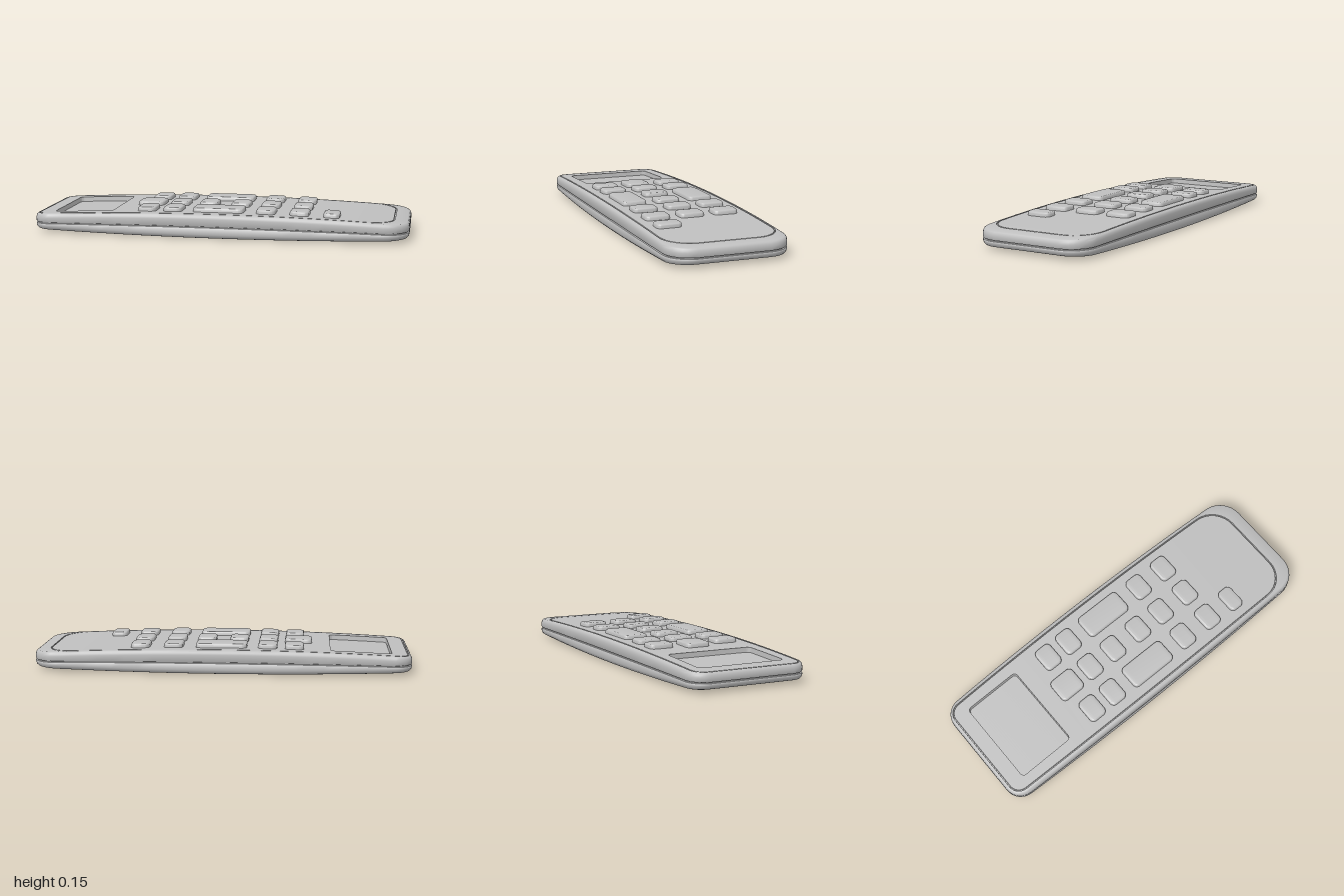
import * as THREE from 'three';
import { toCreasedNormals } from 'three/addons/utils/BufferGeometryUtils.js';

// Gently curved heights along the length
const topY = x => 0.127 - 0.028 * x * x;
const seamY = x => 0.062 - 0.011 * x * x;
const baseY = x => 0.017 * x * x;

// Outlines: end positions, half width along x, corner radii
const SHELL = { x0: -1, x1: 1, w: x => 0.335 - 0.017 * x * x, rL: 0.09, rR: 0.13 };
const PANEL = { x0: -0.98, x1: 0.92, w: x => 0.308 - 0.014 * x * x, rL: 0.06, rR: 0.14 };
const SCREEN = { x0: -0.895, x1: -0.575, w: () => 0.238, rL: 0.022, rR: 0.022 };

// Front half of a rounded outline, inset by d, from -x to +x
function halfOutline(o, d, height) {
  const pts = [], x0 = o.x0 + d, x1 = o.x1 - d;
  const rL = Math.max(o.rL - d, 0.004), rR = Math.max(o.rR - d, 0.004);
  const add = (x, drop) => pts.push(new THREE.Vector3(x, height(x), o.w(x) - d - drop));
  const arc = 8, mid = 24;
  for (let i = 0; i <= arc; i++) {
    const a = (i / arc) * Math.PI / 2;
    add(x0 + rL * (1 - Math.cos(a)), rL * (1 - Math.sin(a)));
  }
  for (let i = 1; i < mid; i++) add(x0 + rL + (x1 - rR - x0 - rL) * i / mid, 0);
  for (let i = 0; i <= arc; i++) {
    const a = (i / arc) * Math.PI / 2;
    add(x1 - rR * (1 - Math.sin(a)), rR * (1 - Math.cos(a)));
  }
  return pts;
}

const mirror = pts => pts.map(p => new THREE.Vector3(p.x, p.y, -p.z));

// Quads between two point rows; faces up when a lies in front of b
function strip(out, a, b) {
  for (let i = 0; i < a.length - 1; i++) {
    for (const p of [a[i], a[i + 1], b[i + 1], a[i], b[i + 1], b[i]]) out.push(p.x, p.y, p.z);
  }
}

// Walls through a stack of half outlines, with optional caps
function loft(out, halves, capStart, capEnd) {
  const rings = halves.map(h => [...h, ...mirror(h).reverse(), h[0]]);
  for (let k = 0; k < rings.length - 1; k++) strip(out, rings[k], rings[k + 1]);
  const last = halves[halves.length - 1];
  if (capStart) strip(out, mirror(halves[0]), halves[0]);
  if (capEnd) strip(out, last, mirror(last));
}

function makeMesh(name, positions, material) {
  const g = new THREE.BufferGeometry();
  g.setAttribute('position', new THREE.Float32BufferAttribute(positions, 3));
  const mesh = new THREE.Mesh(toCreasedNormals(g, 0.65), material);
  mesh.name = name;
  return mesh;
}

export function createModel() {
  const group = new THREE.Group();
  group.name = 'remoteControl';
  const grey = new THREE.MeshStandardMaterial({ color: 0xbfbfbf });
  grey.name = 'grey plastic';
  const ring = (o, d, base, dy) => halfOutline(o, d, x => base(x) + dy);

  // Lower shell with a rounded bottom edge
  const lower = [];
  loft(lower, [
    ring(SHELL, 0.024, baseY, 0), ring(SHELL, 0.012, baseY, 0.003),
    ring(SHELL, 0.004, baseY, 0.011), ring(SHELL, 0, baseY, 0.022),
    ring(SHELL, 0, seamY, -0.007), ring(SHELL, 0.002, seamY, -0.004),
    ring(SHELL, 0.009, seamY, -0.002),
  ], true, false);
  group.add(makeMesh('lowerShell', lower, grey));

  // Upper shell from the seam to the groove around the panel
  const upper = [];
  loft(upper, [
    ring(SHELL, 0.009, seamY, -0.002), ring(SHELL, 0.009, seamY, 0.001),
    ring(SHELL, 0.002, seamY, 0.003), ring(SHELL, 0, seamY, 0.007),
    ring(SHELL, 0, topY, -0.024), ring(SHELL, 0.002, topY, -0.013),
    ring(SHELL, 0.007, topY, -0.005), ring(SHELL, 0.014, topY, -0.001),
    ring(PANEL, -0.003, topY, 0), ring(PANEL, -0.002, topY, -0.01),
    ring(PANEL, 0.003, topY, -0.01),
  ], false, false);
  group.add(makeMesh('upperShell', upper, grey));

  // Face panel, split around the screen opening
  const panel = [];
  const edge = ring(PANEL, 0.004, topY, 0);
  loft(panel, [ring(PANEL, 0.003, topY, -0.01), ring(PANEL, 0.003, topY, -0.002), edge], false, false);
  const hole = ring(SCREEN, 0, topY, 0);
  const beside = hole.map(p => new THREE.Vector3(p.x, p.y, PANEL.w(p.x) - 0.004));
  const left = [...edge.filter(p => p.x < SCREEN.x0), beside[0]];
  const right = [beside[beside.length - 1], ...edge.filter(p => p.x > SCREEN.x1)];
  for (const part of [left, right]) strip(panel, part, mirror(part));
  strip(panel, beside, hole);
  strip(panel, mirror(hole), mirror(beside));
  group.add(makeMesh('facePanel', panel, grey));

  // Sunken screen
  const screen = [];
  loft(screen, [hole, ring(SCREEN, 0.002, topY, -0.026)], false, true);
  group.add(makeMesh('screenRecess', screen, grey));

  // Buttons: three rows of [centre x, width]
  const sideRow = [[-0.385, 0.1], [-0.245, 0.1], [0, 0.27], [0.253, 0.1], [0.43, 0.1]];
  const rows = [
    [-0.187, sideRow],
    [0, [[-0.405, 0.145], [-0.245, 0.1], [-0.085, 0.1], [0.09, 0.1], [0.253, 0.1], [0.43, 0.1]]],
    [0.187, [...sideRow, [0.598, 0.085]]],
  ];
  const buttons = new THREE.Group();
  buttons.name = 'buttons';
  for (const [z, row] of rows) {
    for (const [x, width] of row) {
      const o = { x0: x - width / 2, x1: x + width / 2, w: () => 0.067, rL: 0.026, rR: 0.026 };
      const out = [];
      loft(out, [
        ring(o, 0, topY, -0.008), ring(o, 0, topY, 0.014), ring(o, 0.002, topY, 0.018),
        ring(o, 0.005, topY, 0.021), ring(o, 0.009, topY, 0.022),
      ], false, true);
      const button = makeMesh('button', out, grey);
      button.position.z = z;
      buttons.add(button);
    }
  }
  group.add(buttons);
  return group;
}
